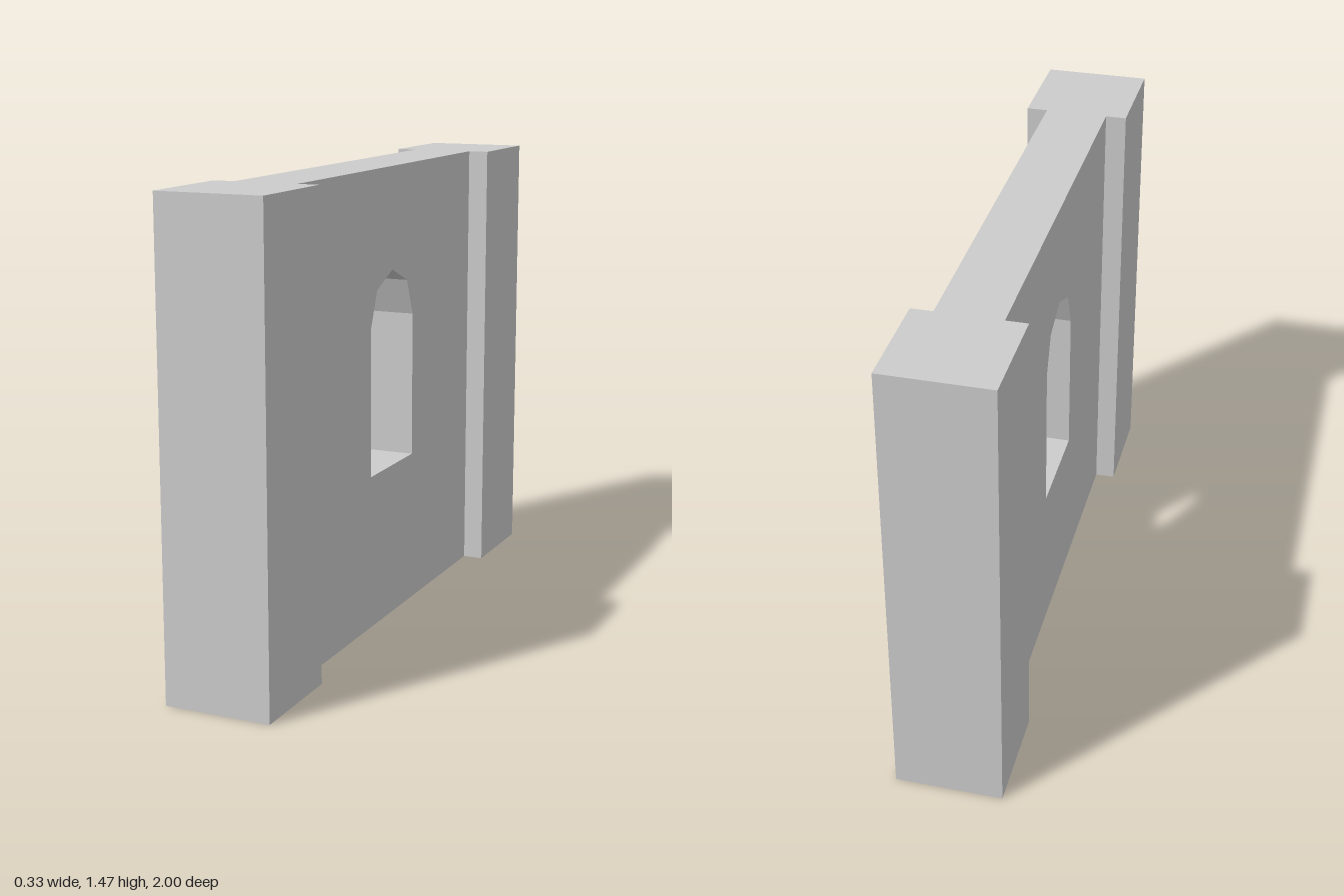
import * as THREE from 'three';

const HEIGHT = 1.467;
const PILLAR_WIDTH = 0.333; // pillars are square in plan
const WALL_DEPTH = 0.2;
const WALL_HALF = 1 - PILLAR_WIDTH;

export function createModel() {
  const group = new THREE.Group();
  group.name = 'windowWall';
  const material = new THREE.MeshStandardMaterial({ color: 0xcccccc, flatShading: true });

  // Wall panel outline, drawn flat and then turned to run along z
  const outline = new THREE.Shape();
  outline.moveTo(-WALL_HALF, 0);
  outline.lineTo(WALL_HALF, 0);
  outline.lineTo(WALL_HALF, HEIGHT);
  outline.lineTo(-WALL_HALF, HEIGHT);
  outline.closePath();

  // Arched window opening: straight jambs and a four-sided round head
  const radius = 0.167, sill = 0.5, spring = 0.973, segments = 4;
  const opening = new THREE.Path();
  opening.moveTo(-radius, sill);
  for (let i = 0; i <= segments; i++) {
    const a = Math.PI * (1 - i / segments);
    opening.lineTo(radius * Math.cos(a), spring + radius * Math.sin(a));
  }
  opening.lineTo(radius, sill);
  opening.closePath();
  outline.holes.push(opening);

  const panelGeometry = new THREE.ExtrudeGeometry(outline, { depth: WALL_DEPTH, bevelEnabled: false });
  panelGeometry.translate(0, 0, -WALL_DEPTH / 2).rotateY(Math.PI / 2);
  const panel = new THREE.Mesh(panelGeometry, material);
  panel.name = 'wallPanel';
  group.add(panel);

  // Thicker pillar at each end
  const pillarGeometry = new THREE.BoxGeometry(PILLAR_WIDTH, HEIGHT, PILLAR_WIDTH);
  for (const [name, side] of [['frontPillar', 1], ['backPillar', -1]]) {
    const pillar = new THREE.Mesh(pillarGeometry, material);
    pillar.name = name;
    pillar.position.set(0, HEIGHT / 2, side * (1 - PILLAR_WIDTH / 2));
    group.add(pillar);
  }
  return group;
}
